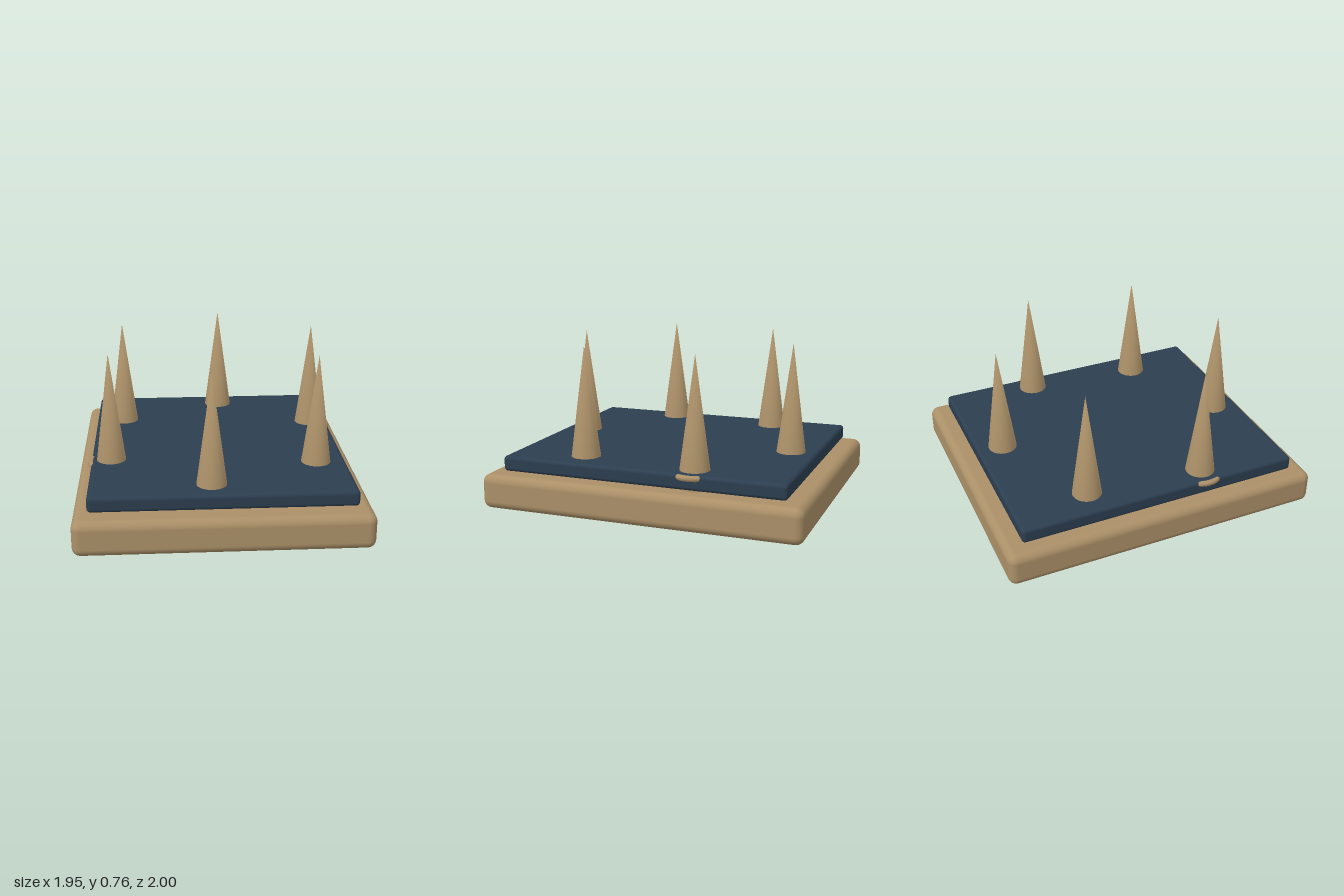
import * as THREE from 'three';
import { RoundedBoxGeometry } from 'three/addons/geometries/RoundedBoxGeometry.js';
import { mergeVertices } from 'three/addons/utils/BufferGeometryUtils.js';

export function createModel() {
  const group = new THREE.Group();
  const tan = new THREE.MeshStandardMaterial({ name: 'tan', color: 0xab9068 });
  const navy = new THREE.MeshStandardMaterial({ name: 'navy', color: 0x2c3e50 });

  const add = (name, geometry, material, x, y, z, parent = group) => {
    const mesh = new THREE.Mesh(geometry, material);
    mesh.name = name;
    mesh.position.set(x, y, z);
    parent.add(mesh);
    return mesh;
  };

  // Base block and top panel, both turned on the vertical axis
  const slabs = new THREE.Group();
  slabs.name = 'slabs';
  slabs.rotation.y = THREE.MathUtils.degToRad(35);
  group.add(slabs);
  add('base', new RoundedBoxGeometry(1.336, 0.165, 1.54, 5, 0.04), tan, 0, 0.0825, 0, slabs);
  add('panel', new RoundedBoxGeometry(1.204, 0.073, 1.368, 4, 0.018), navy, 0, 0.2095, 0, slabs);

  // Spike with normals blended at the tip for a soft point
  let spike = new THREE.ConeGeometry(0.08, 0.6, 32, 1, true);
  spike.deleteAttribute('uv');
  spike.deleteAttribute('normal');
  spike = mergeVertices(spike);
  spike.computeVertexNormals();

  // Collar ring sunk into the panel round each spike
  const collar = new THREE.TorusGeometry(0.096, 0.014, 12, 48);
  collar.rotateX(Math.PI / 2);

  // Six spikes on a circle
  for (let i = 0; i < 6; i++) {
    const a = (i * Math.PI) / 3;
    const x = 0.56 * Math.cos(a);
    const z = 0.56 * Math.sin(a);
    add('spike', spike, tan, x, 0.465, z);
    add('collar', collar, tan, x, 0.23, z);
  }
  return group;
}
